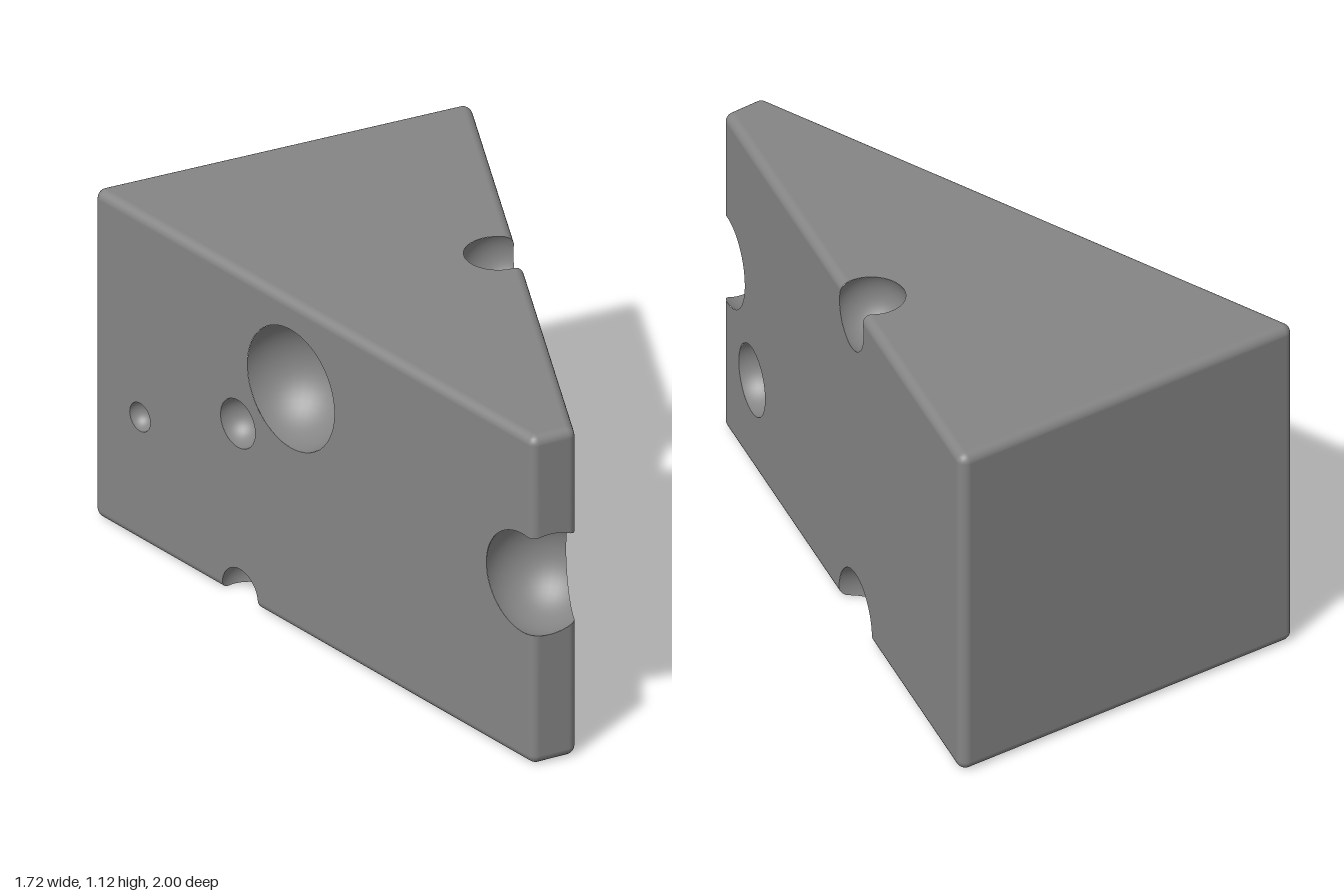
import * as THREE from 'three';

const R = 0.03;       // edge rounding
const H = 1.125;      // wedge height
// Plan of the wedge as [x, z], inset by the rounding radius
const PLAN = [[-0.829, -0.246], [0.109, -0.97], [0.828, 0.906], [0.752, 0.97]];
const EDGES = PLAN.map(([x, z], i) => {
  const [x2, z2] = PLAN[(i + 1) % PLAN.length];
  const len = Math.hypot(x2 - x, z2 - z), dx = (x2 - x) / len, dz = (z2 - z) / len;
  return { x, z, dx, dz, len, nx: dz, nz: -dx };
});

// Holes on the two long sides, with their centre sunk below the surface by depth
const onFront = (x, y, r, depth = 0) => ({
  c: new THREE.Vector3(x + 0.609 * depth, y, -0.221 + (x + 0.848) * 0.768 - 0.793 * depth), r });
const onRight = (z, y, r, depth = 0) => ({
  c: new THREE.Vector3(0.138 + (z + 0.98) * 0.383 - 0.934 * depth, y, z + 0.358 * depth), r });
const HOLES = [
  onFront(-0.142, 0.824, 0.203),
  onFront(-0.338, 0.60, 0.081),
  onFront(-0.70, 0.43, 0.048),
  onFront(-0.33, 0.02, 0.09, 0.035),
  onRight(0.686, 0.312, 0.115),
  onRight(-0.16, 0.02, 0.146, -0.02),
  { c: new THREE.Vector3(0.405, 1.06, -0.105), r: 0.123 },  // top edge
  { c: new THREE.Vector3(0.758, 0.612, 0.923), r: 0.183 },  // through the tip
];

// Signed distance to the rounded wedge
function wedgeDistance(p) {
  let inside = -Infinity, outside = Infinity;
  for (const e of EDGES) {
    const x = p.x - e.x, z = p.z - e.z;
    inside = Math.max(inside, x * e.nx + z * e.nz);
    const t = THREE.MathUtils.clamp(x * e.dx + z * e.dz, 0, e.len);
    outside = Math.min(outside, Math.hypot(x - e.dx * t, z - e.dz * t));
  }
  const d = inside > 0 ? outside : inside;
  const h = Math.abs(p.y - H / 2) - (H / 2 - R);
  return Math.hypot(Math.max(d, 0), Math.max(h, 0)) + Math.min(Math.max(d, h), 0) - R;
}

const holeDistance = (p) => Math.min(...HOLES.map((h) => p.distanceTo(h.c) - h.r));

const vert = (p, n) => ({ p, n });
const mix = (a, b, t) => vert(a.p.clone().lerp(b.p, t), a.n.clone().lerp(b.n, t).normalize());

// Keep the part of the triangles where f > 0, refining along the cut
function clipTriangles(triangles, f, size) {
  const pos = [], nor = [];
  const emit = (...vs) => vs.forEach((v) => { pos.push(...v.p.toArray()); nor.push(...v.n.toArray()); });
  const stack = [...triangles];
  while (stack.length) {
    const tri = stack.pop();
    const mid = tri[0].p.clone().add(tri[1].p).add(tri[2].p).divideScalar(3);
    const reach = Math.max(...tri.map((v) => v.p.distanceTo(mid)));
    const d = f(mid);
    if (d > reach) { emit(...tri); continue; }
    if (d < -reach) continue;
    const lengths = tri.map((v, i) => v.p.distanceTo(tri[(i + 1) % 3].p));
    const longest = Math.max(...lengths);
    if (longest > size) {
      const i = lengths.indexOf(longest);
      const a = tri[i], b = tri[(i + 1) % 3], c = tri[(i + 2) % 3], m = mix(a, b, 0.5);
      stack.push([a, m, c], [m, b, c]);
      continue;
    }
    const values = tri.map((v) => f(v.p)), poly = [];
    tri.forEach((v, i) => {
      const j = (i + 1) % 3;
      if (values[i] > 0) poly.push(v);
      if (values[i] > 0 !== values[j] > 0) poly.push(mix(v, tri[j], values[i] / (values[i] - values[j])));
    });
    for (let i = 1; i + 1 < poly.length; i++) emit(poly[0], poly[i], poly[i + 1]);
  }
  const g = new THREE.BufferGeometry();
  g.setAttribute('position', new THREE.Float32BufferAttribute(pos, 3));
  g.setAttribute('normal', new THREE.Float32BufferAttribute(nor, 3));
  return g;
}

// Wedge skin: rings swept around the plan, with rounded corners and rims
function wedgeTriangles() {
  const steps = 6, outline = [], tris = [];
  PLAN.forEach(([x, z], i) => {
    const prev = EDGES[(i + PLAN.length - 1) % PLAN.length], next = EDGES[i];
    const a0 = Math.atan2(prev.nz, prev.nx);
    let a1 = Math.atan2(next.nz, next.nx);
    if (a1 < a0) a1 += Math.PI * 2;
    for (let k = 0; k <= steps; k++) outline.push({ x, z, a: a0 + (a1 - a0) * k / steps });
  });
  const ring = (y, phi) => outline.map(({ x, z, a }) => {
    const n = new THREE.Vector3(Math.cos(phi) * Math.cos(a), Math.sin(phi), Math.cos(phi) * Math.sin(a));
    return vert(new THREE.Vector3(x, y, z).addScaledVector(n, R), n);
  });
  const rings = [];
  for (let k = 0; k <= steps; k++) rings.push(ring(R, (k / steps - 1) * Math.PI / 2));
  for (let k = 0; k <= steps; k++) rings.push(ring(H - R, (k / steps) * Math.PI / 2));
  for (let j = 0; j + 1 < rings.length; j++) {
    outline.forEach((_, i) => {
      const i2 = (i + 1) % outline.length;
      const a = rings[j][i], b = rings[j][i2], c = rings[j + 1][i2], d = rings[j + 1][i];
      tris.push([a, d, b], [b, d, c]);
    });
  }
  // Flat top and bottom
  const cap = (y, ny) => PLAN.map(([x, z]) => vert(new THREE.Vector3(x, y, z), new THREE.Vector3(0, ny, 0)));
  const top = cap(H, 1), bottom = cap(0, -1);
  for (let i = 1; i + 1 < PLAN.length; i++) {
    tris.push([top[0], top[i + 1], top[i]], [bottom[0], bottom[i], bottom[i + 1]]);
  }
  return tris;
}

// Sphere turned inside out, for the wall of a hole
function hollowTriangles({ c, r }) {
  const g = new THREE.SphereGeometry(r, 40, 28).toNonIndexed();
  const p = g.attributes.position, n = g.attributes.normal, tris = [];
  const at = (i) => vert(new THREE.Vector3().fromBufferAttribute(p, i).add(c),
    new THREE.Vector3().fromBufferAttribute(n, i).negate());
  for (let i = 0; i < p.count; i += 3) tris.push([at(i), at(i + 2), at(i + 1)]);
  return tris;
}

export function createModel() {
  const model = new THREE.Group();
  model.name = 'cheeseWedge';
  const material = new THREE.MeshStandardMaterial({ color: 0x858585 });
  const add = (name, geometry) => {
    const mesh = new THREE.Mesh(geometry, material);
    mesh.name = name;
    model.add(mesh);
  };
  add('wedgeBody', clipTriangles(wedgeTriangles(), holeDistance, 0.015));
  HOLES.forEach((hole, i) => {
    add(`holeWall${i + 1}`, clipTriangles(hollowTriangles(hole), (p) => -wedgeDistance(p), 0.012));
  });
  return model;
}
